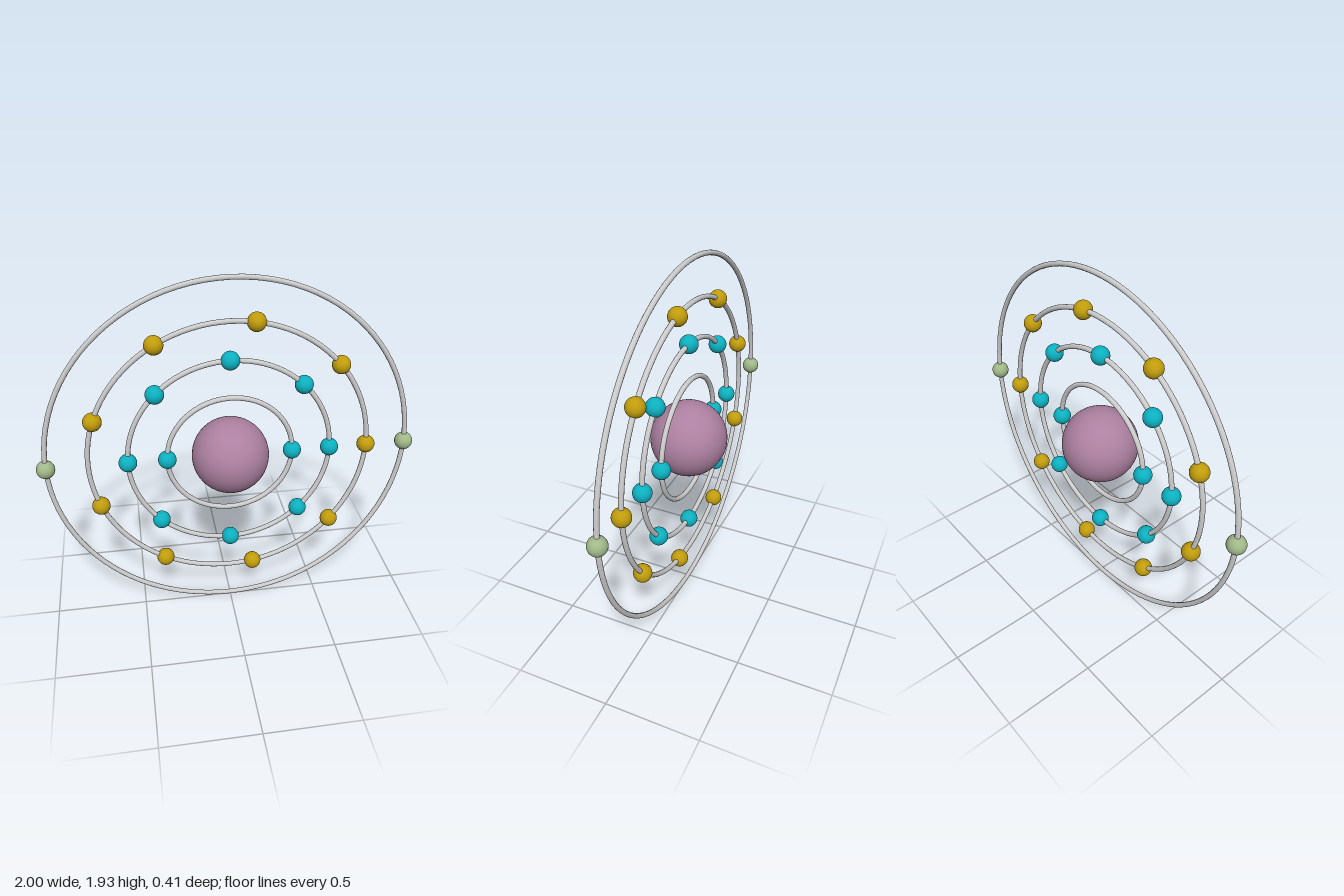
import * as THREE from 'three';

const CENTRE_Y = 0.966;
const TUBE = 0.0133;
const ELECTRON = 0.048;

// Shells from the inside out: orbit radius, electron count, electron colour
const SHELLS = [
  { name: 'firstShell', radius: 0.332, count: 2, color: 0x0cb0c0 },
  { name: 'secondShell', radius: 0.536, count: 8, color: 0x0cb0c0 },
  { name: 'thirdShell', radius: 0.739, count: 9, color: 0xc09c0c },
  { name: 'outerShell', radius: 0.952, count: 2, color: 0xa0b888 },
];

function addMesh(parent, name, geometry, color) {
  const mesh = new THREE.Mesh(geometry, new THREE.MeshStandardMaterial({ color }));
  mesh.name = name;
  parent.add(mesh);
  return mesh;
}

export function createModel() {
  const model = new THREE.Group();
  model.name = 'atomModel';

  // Nucleus
  const nucleus = addMesh(model, 'nucleus', new THREE.SphereGeometry(0.203, 48, 32), 0xac80a0);
  nucleus.position.y = CENTRE_Y;

  // Each shell is an upright ring with evenly spaced electrons, the first on +x
  const electronGeometry = new THREE.SphereGeometry(ELECTRON, 32, 20);
  for (const { name, radius, count, color } of SHELLS) {
    const shell = new THREE.Group();
    shell.name = name;
    shell.position.y = CENTRE_Y;
    addMesh(shell, 'orbitRing', new THREE.TorusGeometry(radius, TUBE, 12, 96), 0xcccccc);

    for (let i = 0; i < count; i++) {
      const angle = (i / count) * Math.PI * 2;
      const electron = addMesh(shell, 'electron', electronGeometry, color);
      electron.position.set(Math.cos(angle) * radius, Math.sin(angle) * radius, 0);
    }
    model.add(shell);
  }
  return model;
}
